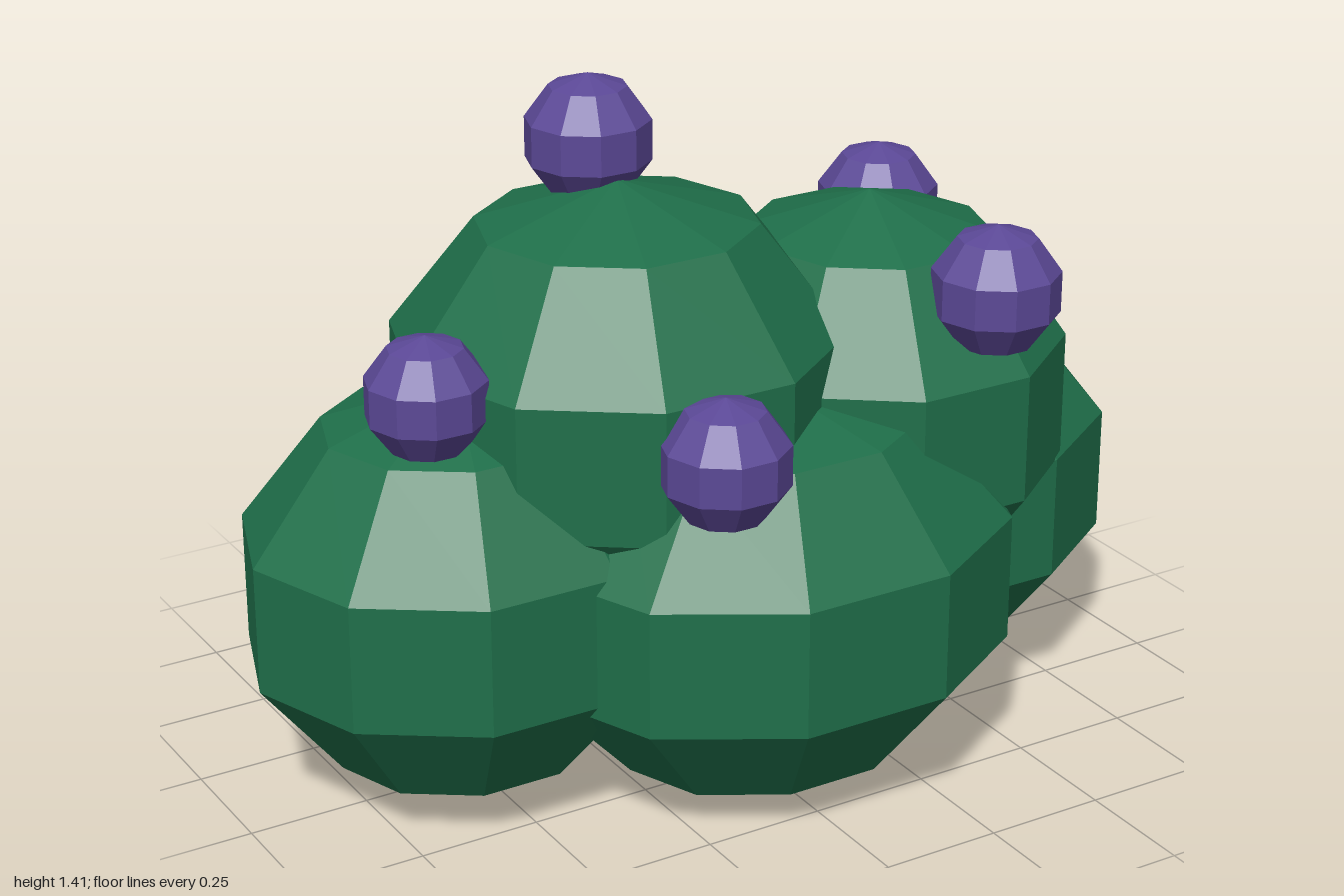
import * as THREE from 'three';

const leafGreen = new THREE.MeshStandardMaterial({ name: 'leafGreen', color: 0x1f6f4a });
const berryPurple = new THREE.MeshStandardMaterial({ name: 'berryPurple', color: 0x5b4896 });

// Faceted ball: ten sides, five bands, hard-edged faces
function facetedBall() {
  const geometry = new THREE.SphereGeometry(1, 10, 5).toNonIndexed();
  geometry.computeVertexNormals();
  return geometry;
}

// Adds a stretched ball at a centre with given radii
function addBall(group, geometry, material, name, centre, radii) {
  const mesh = new THREE.Mesh(geometry, material);
  mesh.name = name;
  mesh.position.set(...centre);
  mesh.scale.set(...radii);
  group.add(mesh);
}

export function createModel() {
  const bush = new THREE.Group();
  bush.name = 'berryBush';
  const ball = facetedBall();

  // Overlapping clumps of foliage: name, centre, radii
  const clumps = [
    ['rightClump', [-0.54, 0.45, 0.03], [0.46, 0.425, 0.43]],
    ['leftClump', [0.51, 0.438, -0.02], [0.49, 0.42, 0.44]],
    ['frontClump', [0.01, 0.425, 0.29], [0.54, 0.425, 0.44]],
    ['backClump', [0.01, 0.555, -0.28], [0.53, 0.5, 0.45]],
    ['topClump', [-0.185, 0.78, 0.04], [0.48, 0.445, 0.47]],
    ['upperLeftClump', [0.355, 0.7, 0.115], [0.42, 0.43, 0.43]],
  ];
  for (const [name, centre, radii] of clumps) {
    addBall(bush, ball, leafGreen, name, centre, radii);
  }

  // Berries resting on the foliage
  const berries = [
    ['topBerry', [-0.19, 1.28, -0.06], 0.132],
    ['rightBerry', [-0.66, 0.91, 0.15], 0.125],
    ['frontBerry', [-0.225, 0.813, 0.51], 0.132],
    ['frontLeftBerry', [0.435, 1.005, 0.44], 0.134],
    ['backLeftBerry', [0.56, 0.985, -0.155], 0.132],
  ];
  for (const [name, centre, r] of berries) {
    addBall(bush, ball, berryPurple, name, centre, [r, r, r]);
  }

  return bush;
}
